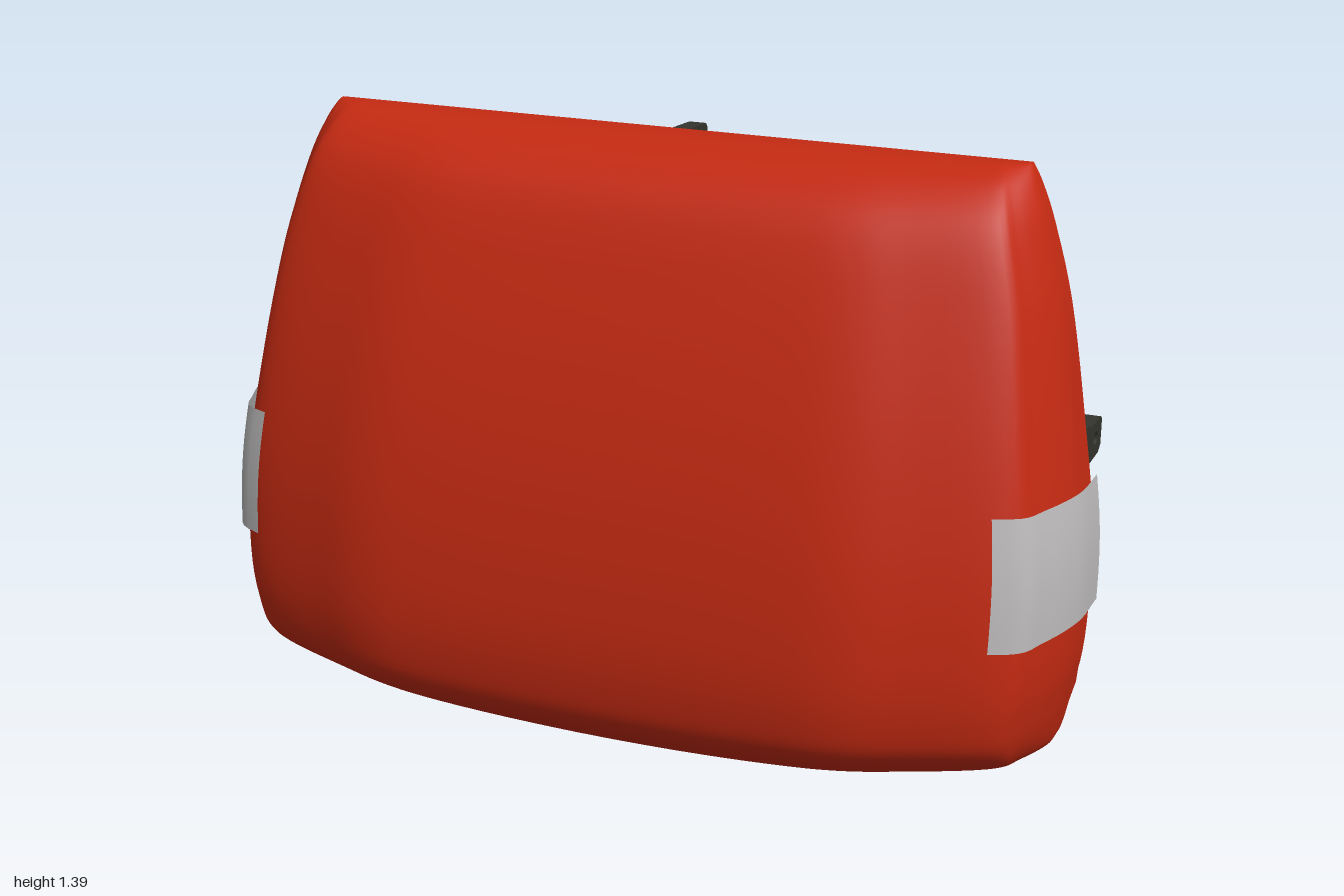
import * as THREE from 'three';

const red = new THREE.MeshStandardMaterial({ name: 'red paint', color: 0xc42a12, side: THREE.DoubleSide });
const grey = new THREE.MeshStandardMaterial({ name: 'lens grey', color: 0xbdbbbb, side: THREE.DoubleSide });
const dark = new THREE.MeshStandardMaterial({ name: 'dark plastic', color: 0x34352e });

const BACK = -0.15;
const v3 = (p) => new THREE.Vector3(p[0], p[1], p[2] || 0);

// Vertical section of the shell, top to bottom: height, depth, half width
const rows = new THREE.CatmullRomCurve3([
  [1.392, 0, 0.81], [1.388, 0.08, 0.815], [1.35, 0.17, 0.835], [1.27, 0.25, 0.865],
  [1.105, 0.32, 0.91], [0.865, 0.395, 0.95], [0.61, 0.45, 0.983], [0.385, 0.475, 0.983],
  [0.24, 0.47, 0.967], [0.155, 0.445, 0.955], [0.09, 0.375, 0.945], [0.045, 0.28, 0.935],
  [0.015, 0.135, 0.92], [0.003, 0, 0.9],
].map(v3), false, 'catmullrom', 0.5);

// Plan section of the shell, right half then mirrored: share of width, share of depth
const halfPlan = [[1, 0], [0.995, 0.28], [0.955, 0.57], [0.905, 0.75], [0.71, 0.89], [0.57, 0.97], [0.4, 0.995], [0, 1]];
const plan = new THREE.CatmullRomCurve3([
  ...halfPlan.map(([x, z]) => v3([-x, z])),
  ...halfPlan.slice(0, -1).reverse().map(([x, z]) => v3([x, z])),
], false, 'catmullrom', 0.5);

function shellPoint(u, t) {
  const r = rows.getPoint(t), p = plan.getPoint(u);
  const lift = 0.085 * Math.max(0, 1 - r.x / 0.3) * p.x * p.x; // bottom edge rises to the sides
  return new THREE.Vector3(p.x * r.z, r.x + lift, BACK + p.y * Math.max(0, r.y));
}

// A patch of the curved shell between two plan and two row positions
function shellPatch(u0, u1, t0, t1, nu, nt, grow = 0) {
  const g = new THREE.PlaneGeometry(1, 1, nu, nt);
  const pos = g.attributes.position, uv = g.attributes.uv;
  for (let i = 0; i < pos.count; i++) {
    const p = shellPoint(u0 + (u1 - u0) * uv.getX(i), t0 + (t1 - t0) * (1 - uv.getY(i)));
    pos.setXYZ(i, p.x * (1 + grow * 1.4), p.y, p.z + (p.z > BACK + 0.01 ? grow * 0.7 : 0));
  }
  g.computeVertexNormals();
  return g;
}

// Outline of the back edge, optionally shrunk
function backOutline(k) {
  const half = [[0.5, 0.03], [0.9, 0.087], [0.935, 0.12], [0.967, 0.24], [0.983, 0.4], [0.983, 0.61],
    [0.95, 0.865], [0.91, 1.105], [0.865, 1.27], [0.835, 1.35], [0.81, 1.39]];
  const pts = [[0, 0.004], ...half, ...half.map(([x, y]) => [-x, y]).reverse()];
  return new THREE.Shape(pts.map(([x, y]) => new THREE.Vector2(x * k, 0.7 + (y - 0.7) * k)));
}

export function createModel() {
  const model = new THREE.Group();
  const add = (name, geo, mat, x = 0, y = 0, z = 0, parent = model) => {
    const m = new THREE.Mesh(geo, mat);
    m.name = name;
    m.position.set(x, y, z);
    parent.add(m);
    return m;
  };
  const box = (name, w, h, d, x, y, z) => add(name, new THREE.BoxGeometry(w, h, d), dark, x, y, z);

  // Curved shell and its thin back rim
  add('shell', shellPatch(0, 1, 0, 1, 70, 65), red);
  add('backRim', new THREE.ShapeGeometry(backOutline(1)), red, 0, 0, BACK);

  // Side lenses wrapped around the shell corners
  const lensEnd = 3.25 / 14;
  add('rightLens', shellPatch(0, lensEnd, 5.53 / 13, 6.71 / 13, 16, 10, 0.011), grey);
  add('leftLens', shellPatch(1 - lensEnd, 1, 5.53 / 13, 6.71 / 13, 16, 10, 0.011), grey);

  // Back plate with sloped border
  add('backPlate', new THREE.ExtrudeGeometry(backOutline(0.975), {
    depth: 0.015, bevelThickness: 0.025, bevelSize: 0.07, bevelOffset: -0.07, bevelSegments: 1,
  }), dark, 0, 0, -0.17);

  // Raised inner panel with uneven columns
  box('innerPanel', 1.6, 0.74, 0.04, 0, 0.7, -0.205);
  const columns = 7;
  for (let i = 0; i < columns; i++) {
    const x = -0.66 + (i * 1.32) / (columns - 1);
    const h = 0.6 + 0.08 * (i % 2);
    box('panelColumn', 0.17, h, 0.02, x, 0.7 + 0.02 * ((i % 3) - 1), -0.23);
    box('columnBlock', 0.09, 0.1, 0.012, x + 0.02, 0.52 + 0.11 * ((i * 2) % 4), -0.242);
  }

  // Long ribs above and below the panel
  for (const s of [-1, 1]) box('upperRib', 0.66, 0.05, 0.045, s * 0.41, 1.16, -0.205);
  box('lowerRib', 1.12, 0.05, 0.04, 0, 0.25, -0.205);

  // Mounting lugs: profile in depth and height with a bolt hole
  const lug = (name, x, y, pts) => {
    const shape = new THREE.Shape(pts.map(([d, h]) => new THREE.Vector2(d, h)));
    shape.holes.push(new THREE.Path().absarc(0.27, 0, 0.016, 0, Math.PI * 2, true));
    const g = new THREE.ExtrudeGeometry(shape, { depth: 0.04, bevelEnabled: false, curveSegments: 10 });
    g.translate(0, 0, -0.02).rotateY(Math.PI / 2);
    return add(name, g, dark, x, y, 0);
  };
  const endLug = [[0.17, -0.1], [0.22, -0.08], [0.24, -0.062], [0.3, -0.06], [0.315, -0.045],
    [0.318, 0.03], [0.31, 0.04], [0.17, 0.05]];
  lug('topLug', 0, 1.33, endLug);
  lug('bottomLug', 0, 0.09, endLug.map(([d, h]) => [d, -h * 0.9]).reverse());
  for (const y of [1.29, 0.12]) {
    box('lugBase', 0.12, 0.13, 0.05, 0, y, -0.2);
    box('lugStem', 0.07, 0.12, 0.03, 0, y + (y > 1 ? -0.1 : 0.08), -0.205);
  }
  const sideLug = [[0.16, -0.045], [0.3, -0.042], [0.32, -0.03], [0.322, 0.03], [0.31, 0.038], [0.16, 0.042]];
  for (const s of [-1, 1]) {
    lug(s > 0 ? 'leftLug' : 'rightLug', s * 0.93, 0.765, sideLug);
    box('sideLugBase', 0.13, 0.1, 0.05, s * 0.885, 0.765, -0.185);
    box('sideLugClip', 0.035, 0.07, 0.08, s * 0.86, 0.765, -0.225);
  }
  return model;
}
